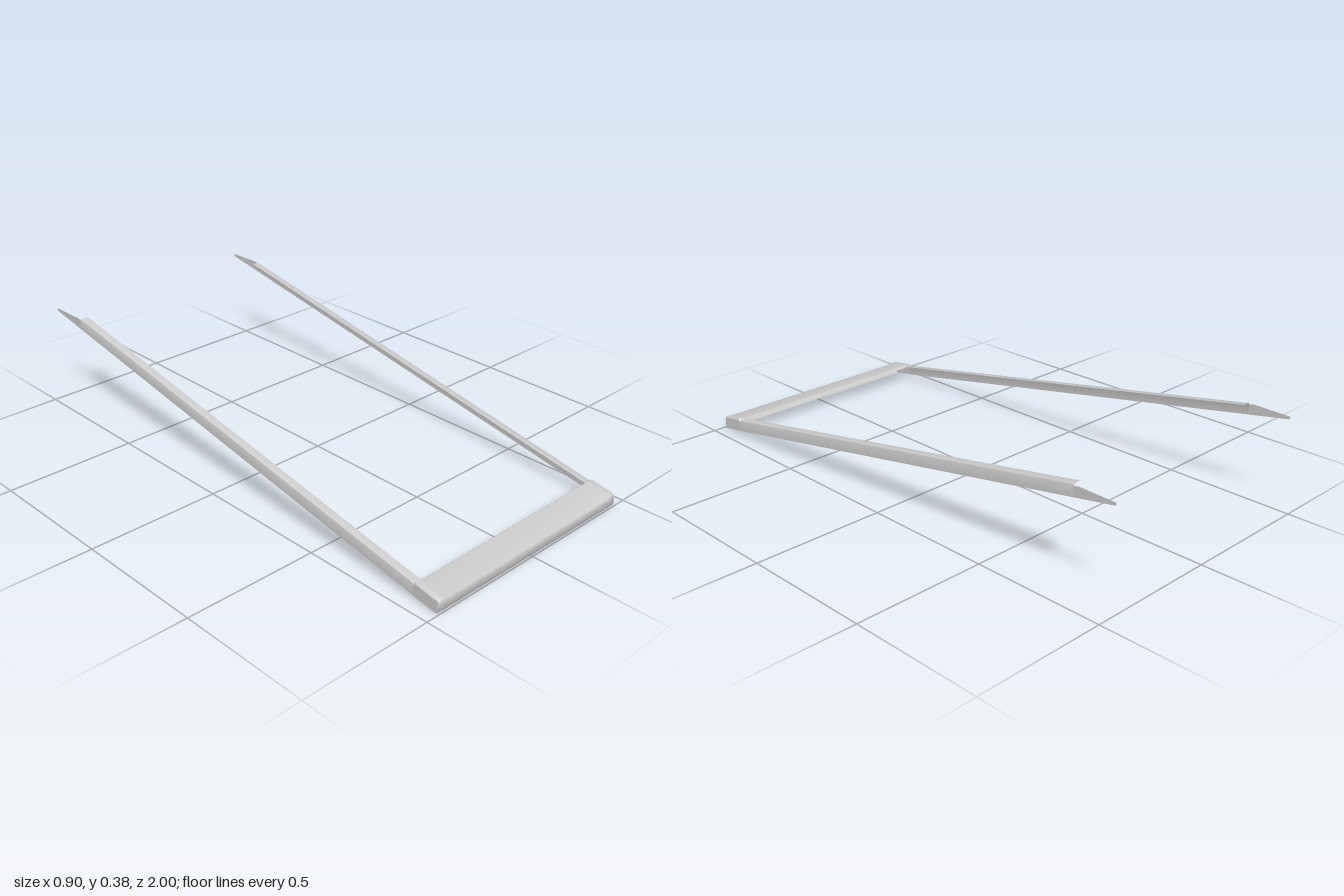
import * as THREE from 'three';
import { toCreasedNormals } from 'three/addons/utils/BufferGeometryUtils.js';

const material = new THREE.MeshStandardMaterial({ color: 0xcccccc, side: THREE.DoubleSide });

// Heights of the sloping rail edges at a given depth
const bottomY = z => 0.191 - 0.187 * z;
const topY = z => 0.235 - 0.187 * z;

// Skin over a list of cross-sections, each a list of [x, y, z]
function loft(rows) {
  const n = rows[0].length, index = [];
  for (let i = 0; i < rows.length - 1; i++) {
    for (let j = 0; j < n - 1; j++) {
      const a = i * n + j, b = a + n;
      index.push(a, b, a + 1, b, b + 1, a + 1);
    }
  }
  const geometry = new THREE.BufferGeometry();
  geometry.setAttribute('position', new THREE.Float32BufferAttribute(rows.flat(2), 3));
  geometry.setIndex(index);
  return toCreasedNormals(geometry, 0.7);
}

function part(name, geometry) {
  const mesh = new THREE.Mesh(geometry, material);
  mesh.name = name;
  return mesh;
}

// Front bar profile as [z, y], from the bottom of the lip to the rear fold
const barProfile = [
  [0.983, 0.009], [0.995, 0.012], [1, 0.02], [1, 0.047], [0.997, 0.053],
  [0.988, 0.057], [0.91, 0.0705], [0.9, 0.071], [0.893, 0.064],
];

// One cross-section of the bar, drawn in by an inset near the rounded ends
function barSection(x, inset, lift = 0) {
  return barProfile.map(([z, y], i) => [
    x,
    i > 2 ? y - inset + lift : y,
    i > 0 && i < 6 ? z - inset : z,
  ]);
}

function createSide() {
  const side = new THREE.Group();

  // L-shaped rail: outer web, rounded edge and inward top flange
  const railSection = z => [
    [0.447, bottomY(z), z], [0.447, topY(z) - 0.006, z], [0.4455, topY(z) - 0.002, z],
    [0.441, topY(z), z], [0.416, topY(z), z],
  ];
  side.add(part('rail', loft([0.9, -0.84].map(railSection))));

  // Flat pointed tongue where the web runs past the flange
  side.add(part('railTongue', loft([
    [[0.447, bottomY(-0.84), -0.84], [0.447, topY(-0.84) - 0.006, -0.84]],
    [[0.447, bottomY(-0.86), -0.86], [0.447, 0.39, -0.86]],
    [[0.447, 0.378, -1], [0.447, 0.388, -1]],
  ])));

  // End cheek closing the front bar
  const edge = barSection(0.448, 0.006, 0.002);
  side.add(part('barCheek', loft([
    edge.map(([x, , z]) => [x, Math.max(0.009, bottomY(z)), z]),
    edge,
  ])));
  return side;
}

export function createModel() {
  const model = new THREE.Group();
  model.name = 'rearOpenFrame';

  // Front bar: sloping plate with a rounded front lip
  const ends = [[0.448, 0.006, 0.002], [0.446, 0.002, 0.002], [0.441, 0, 0.002], [0.42, 0, 0.001], [0.405, 0, -0.001]];
  const sections = [
    ...ends.map(([x, inset, lift]) => barSection(-x, inset, lift)),
    ...ends.slice().reverse().map(([x, inset, lift]) => barSection(x, inset, lift)),
  ];
  model.add(part('frontBar', loft(sections.reverse())));

  // Matching rails on both sides
  for (const s of [1, -1]) {
    const side = createSide();
    side.name = s > 0 ? 'leftRail' : 'rightRail';
    side.scale.x = s;
    model.add(side);
  }
  return model;
}
